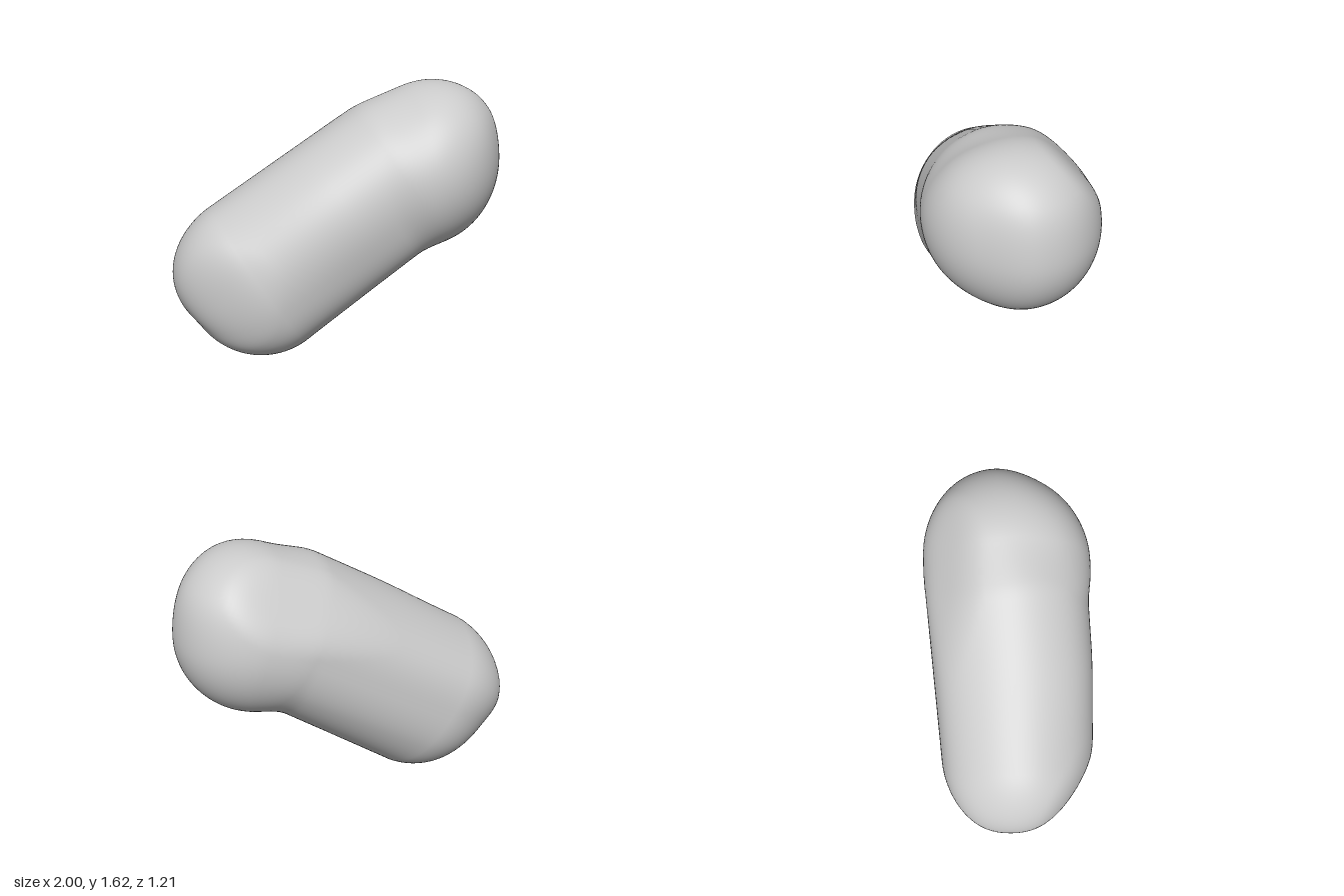
import * as THREE from 'three';

// End centres of the bent, rounded body
const tail = new THREE.Vector3(-0.5, 0.478, -0.12);
const head = new THREE.Vector3(0.498, 1.11, 0.098);
const span = head.clone().sub(tail);
const length = span.length();
const axis = span.clone().normalize();
// Cross-section axes: top and front
const up = new THREE.Vector3(-0.53, 0.85, 0).normalize();
const side = new THREE.Vector3().crossVectors(axis, up).normalize();

// Body radius every 30 degrees: top, front, bottom, back
const radii = [0.52, 0.495, 0.475, 0.466, 0.485, 0.482, 0.49, 0.485, 0.475, 0.475, 0.52, 0.52];
const section = new THREE.CatmullRomCurve3(
  radii.map((r) => new THREE.Vector3(r, 0, 0)), true, 'catmullrom', 0.5);
const corner = new THREE.Vector3();

// Soft bulges: back corner of the tail, upper front of the head
const tailBulge = new THREE.Vector3(-0.85, -0.05, -0.5).normalize();
const headBulge = new THREE.Vector3(0.15, 0.7, 0.7).normalize();
const bulge = (q, len, dir, amount) => amount * Math.max(0, q.dot(dir) / len) ** 6;

// Soft flats: behind the top of the head, and on the front of the tail
const flats = [
  { from: head, normal: new THREE.Vector3(0, 0.63, -0.777).normalize(), reach: 0.445, soft: 0.06 },
  { from: tail, normal: new THREE.Vector3(-0.75, 0, 0.66).normalize(), reach: 0.452, soft: 0.1 },
];

const smoothMin = (a, b, k) => {
  const h = Math.max(k - Math.abs(a - b), 0) / k;
  return Math.min(a, b) - h * h * k * 0.25;
};

// Body: a capsule with an uneven section, thinner below towards the head
function bodyField(p) {
  const q = p.clone().sub(tail);
  const s = THREE.MathUtils.clamp(q.dot(axis), 0, length * 0.85);
  const t = s / length;
  q.addScaledVector(axis, -s);
  const len = q.length() || 1e-6;
  const u = q.dot(up) / len, w = q.dot(side) / len;
  const turn = Math.atan2(w, u) / (2 * Math.PI);
  const shape = section.getPoint((turn + 1) % 1, corner).x;
  const frontTop = Math.max(0, (u + w) * Math.SQRT1_2) ** 4;
  const below = Math.max(0, -u) ** 2;
  const radius = THREE.MathUtils.lerp(0.455, shape, Math.hypot(u, w))
    + 0.05 * THREE.MathUtils.smoothstep(t, -0.1, 0.55) * frontTop - 0.1 * t * below
    + bulge(q, len, tailBulge, 0.035);
  return len - radius;
}

// Head: a ball whose top leans out and whose front leans in
function headField(p) {
  const h = p.clone().sub(head);
  const x = h.x;
  h.y -= 0.12 * x * THREE.MathUtils.smoothstep(h.y, 0, 0.35);
  h.z += 0.15 * x * THREE.MathUtils.smoothstep(h.z, 0, 0.35);
  if (h.z < 0) h.z /= 0.93;
  const len = h.length() || 1e-6;
  return len - 0.5 - bulge(h, len, headBulge, 0.028);
}

// Approximate distance to the surface
function field(p) {
  let d = smoothMin(bodyField(p), headField(p), 0.06);
  for (const { from, normal, reach, soft } of flats) {
    const plane = p.clone().sub(from).dot(normal) - reach;
    d = -smoothMin(-d, -plane, soft);
  }
  return d;
}

export function createModel() {
  const group = new THREE.Group();
  group.name = 'roundedBody';

  const geo = new THREE.CapsuleGeometry(0.48, length, 28, 96, 40);
  const turn = new THREE.Quaternion().setFromUnitVectors(new THREE.Vector3(0, 1, 0), axis);
  const middle = tail.clone().add(head).multiplyScalar(0.5);
  const pos = geo.attributes.position, nor = geo.attributes.normal;
  const p = new THREE.Vector3(), dir = new THREE.Vector3();
  const e = 0.008;

  for (let i = 0; i < pos.count; i++) {
    // Push each vertex out from the central axis to the surface
    const along = THREE.MathUtils.clamp(pos.getY(i), -length / 2, length / 2);
    dir.set(pos.getX(i), pos.getY(i) - along, pos.getZ(i)).normalize().applyQuaternion(turn);
    const start = middle.clone().addScaledVector(axis, along);
    let lo = 0.1, hi = 0.9;
    for (let k = 0; k < 24; k++) {
      const m = (lo + hi) / 2;
      if (field(p.copy(start).addScaledVector(dir, m)) < 0) lo = m; else hi = m;
    }
    p.copy(start).addScaledVector(dir, lo);
    pos.setXYZ(i, p.x, p.y, p.z);
    // Smooth normal from the field's slope
    const n = ['x', 'y', 'z'].map((c) => {
      const a = p.clone(), b = p.clone();
      a[c] += e;
      b[c] -= e;
      return field(a) - field(b);
    });
    dir.set(...n).normalize();
    nor.setXYZ(i, dir.x, dir.y, dir.z);
  }

  const mesh = new THREE.Mesh(geo, new THREE.MeshStandardMaterial({ color: 0xcccccc }));
  mesh.name = 'body';
  group.add(mesh);
  return group;
}
